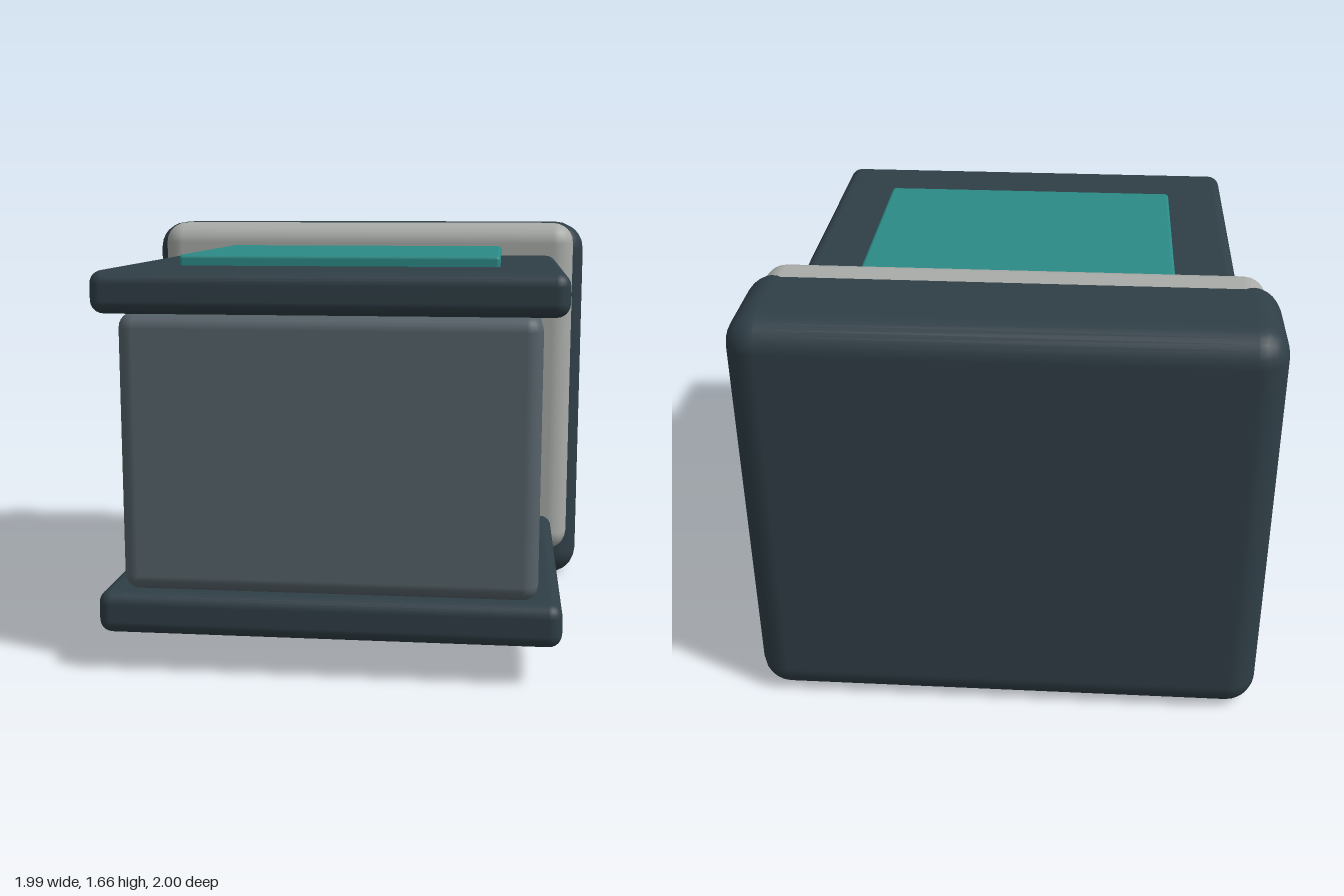
import * as THREE from 'three';
import { RoundedBoxGeometry } from 'three/addons/geometries/RoundedBoxGeometry.js';

const paint = (name, color) => {
  const m = new THREE.MeshStandardMaterial({ color });
  m.name = name;
  return m;
};

export function createModel() {
  const charcoal = paint('charcoal', 0x2f3e46);
  const slate = paint('slate', 0x566269);
  const paleGrey = paint('paleGrey', 0xa9aca8);
  const teal = paint('teal', 0x2b8a86);

  const model = new THREE.Group();
  model.name = 'boxUnit';

  // Rounded box, centred on x, from y0 to y1 and z0 to z1
  const box = (name, material, halfWidth, [y0, y1], [z0, z1], radius, segments = 3) => {
    const geometry = new RoundedBoxGeometry(halfWidth * 2, y1 - y0, z1 - z0, segments, radius);
    const mesh = new THREE.Mesh(geometry, material);
    mesh.name = name;
    mesh.position.set(0, (y0 + y1) / 2, (z0 + z1) / 2);
    model.add(mesh);
  };

  // Back housing with the pale frame set into its front
  box('backHousing', charcoal, 0.995, [0, 1.665], [-1, -0.48], 0.12);
  box('frontFrame', paleGrey, 0.945, [0.14, 1.664], [-0.75, -0.41], 0.09);

  // Main body between two overhanging slabs
  box('body', slate, 0.78, [0.31, 1.365], [-0.6, 0.96], 0.06);
  box('bottomSlab', charcoal, 0.87, [0.15, 0.315], [-0.6, 1], 0.05);
  box('topSlab', charcoal, 0.87, [1.36, 1.52], [-0.6, 1], 0.05);

  // Inset pad on the top slab
  box('topPad', teal, 0.62, [1.505, 1.562], [-0.62, 0.62], 0.015, 2);

  return model;
}
